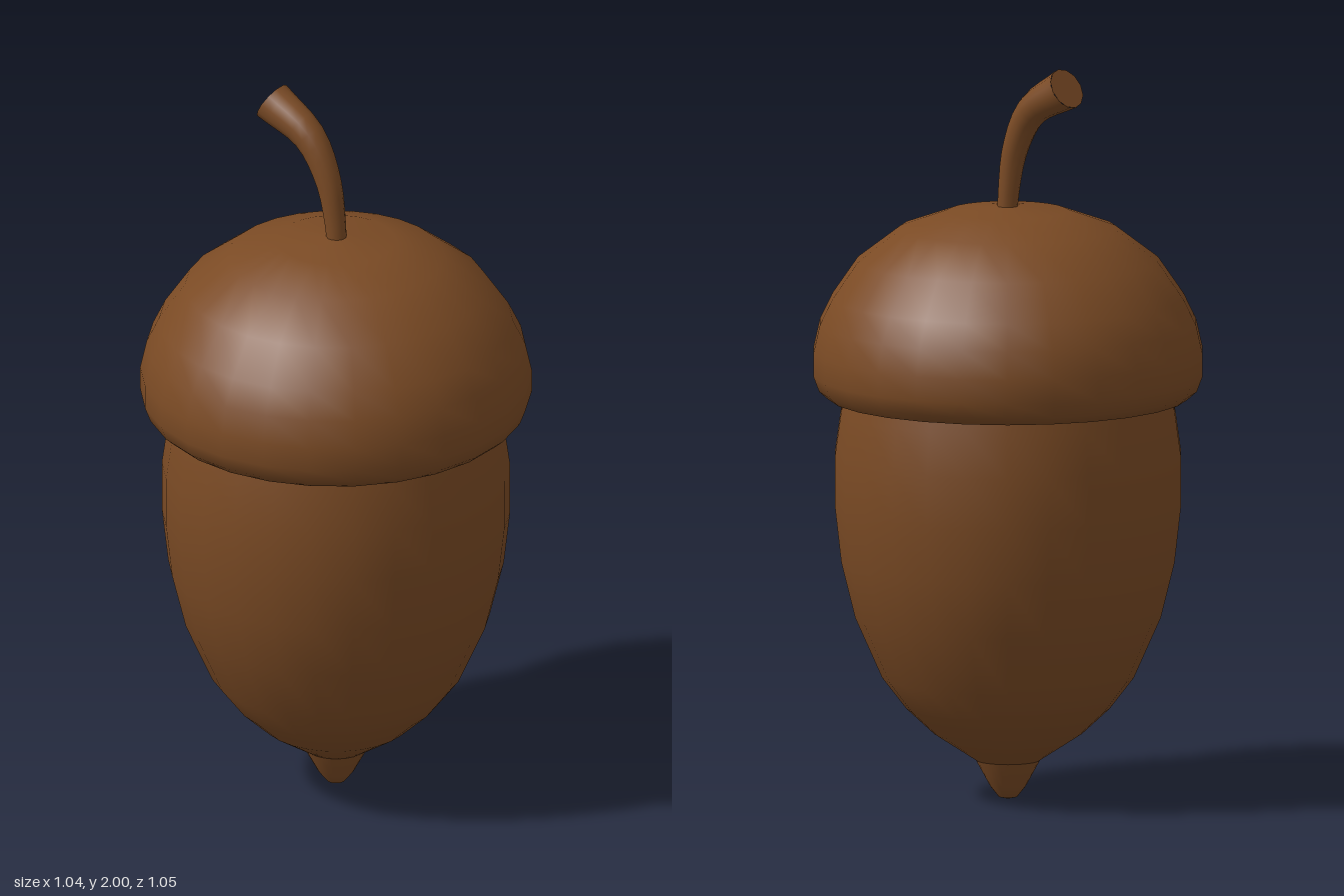
import * as THREE from 'three';

const SIDES = 26;

function lathe(name, profile, material) {
  const points = profile.map(([r, y]) => new THREE.Vector2(r, y));
  const mesh = new THREE.Mesh(new THREE.LatheGeometry(points, SIDES), material);
  mesh.name = name;
  return mesh;
}

// Bent stem that widens towards its cut end
function createStem(material) {
  const stem = new THREE.Group();
  stem.name = 'stem';
  const curve = new THREE.CatmullRomCurve3([
    new THREE.Vector3(0.004, 1.54, 0.004),
    new THREE.Vector3(-0.002, 1.65, -0.002),
    new THREE.Vector3(-0.02, 1.77, -0.018),
    new THREE.Vector3(-0.066, 1.88, -0.06),
    new THREE.Vector3(-0.158, 1.952, -0.143),
  ]);
  const radius = (t) => 0.026 + 0.031 * t ** 1.6;

  const tube = new THREE.TubeGeometry(curve, 14, 1, 12, false);
  const pos = tube.attributes.position;
  const uv = tube.attributes.uv;
  const v = new THREE.Vector3();
  for (let i = 0; i < pos.count; i++) {
    const centre = curve.getPointAt(uv.getX(i));
    v.fromBufferAttribute(pos, i).sub(centre).multiplyScalar(radius(uv.getX(i))).add(centre);
    pos.setXYZ(i, v.x, v.y, v.z);
  }
  const stalk = new THREE.Mesh(tube, material);
  stalk.name = 'stalk';

  const end = new THREE.Mesh(new THREE.CircleGeometry(radius(1), 12), material);
  end.name = 'stalkEnd';
  end.position.copy(curve.getPointAt(1));
  end.quaternion.setFromUnitVectors(new THREE.Vector3(0, 0, 1), curve.getTangentAt(1));

  stem.add(stalk, end);
  return stem;
}

export function createModel() {
  const brown = new THREE.MeshStandardMaterial({ color: 0x7a4a24 });
  brown.name = 'acornBrown';
  const model = new THREE.Group();
  model.name = 'acorn';

  // Pointed tip under the nut
  model.add(lathe('tip', [
    [0, 0], [0.025, 0.006], [0.048, 0.035], [0.068, 0.072], [0.086, 0.105], [0.1, 0.14],
  ], brown));

  // Nut, tucked into the cap at the top
  model.add(lathe('nut', [
    [0, 0.09], [0.085, 0.105], [0.2, 0.18], [0.275, 0.25], [0.34, 0.335], [0.413, 0.5],
    [0.45, 0.65], [0.467, 0.8], [0.467, 0.94], [0.45, 1.06], [0.43, 1.16],
  ], brown));

  // Domed cap with its rim rolled under
  model.add(lathe('cap', [
    [0.42, 1.13], [0.45, 1.097], [0.485, 1.093], [0.51, 1.115], [0.525, 1.155], [0.525, 1.22],
    [0.508, 1.295], [0.474, 1.365], [0.405, 1.465], [0.29, 1.552], [0.16, 1.598], [0, 1.612],
  ], brown));

  model.add(createStem(brown));
  return model;
}
